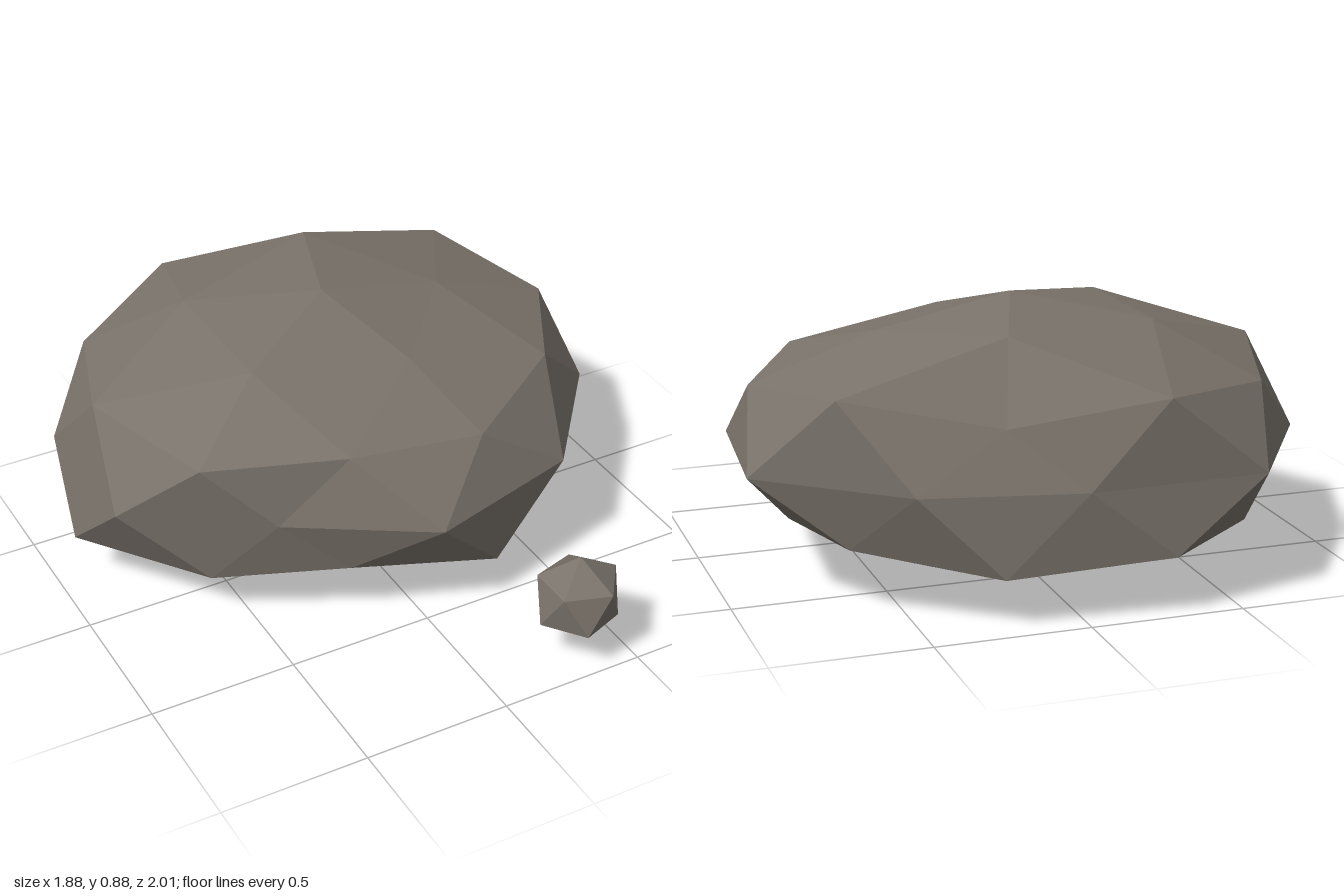
import * as THREE from 'three';

// Rings of a pole-up icosphere: latitude in degrees, first azimuth and azimuth step
const LAT = 26.565, MID = 31.717, HIGH = 58.283;
const RINGS = {
  T: [90, 0, 0], // top pole
  B: [HIGH, 90, 72],
  A: [LAT, 90, 72], // upper corners
  C: [MID, 126, 72],
  E: [0, 72, 36], // equator
  M: [-MID, 90, 72],
  L: [-LAT, 126, 72], // lower corners
  D: [-HIGH, 126, 72],
  S: [-90, 0, 0], // bottom pole
};

// The 20 faces: three corners, then the midpoints of edges ab, bc and ca
function icosaFaces() {
  const faces = [];
  for (let k = 0; k < 5; k++) {
    const n = k + 1, e = 2 * k;
    faces.push(
      [['A', k], ['A', n], ['T', 0], ['C', k], ['B', n], ['B', k]],
      [['A', k], ['L', k], ['A', n], ['E', e + 1], ['E', e + 2], ['C', k]],
      [['L', k], ['L', n], ['A', n], ['M', n], ['E', e + 3], ['E', e + 2]],
      [['L', k], ['S', 0], ['L', n], ['D', k], ['D', n], ['M', n]],
    );
  }
  return faces;
}

// Rock with a radius per ring point, stretched by scale; split makes 80 faces
function rockGeometry(radii, scale, split) {
  const point = ([ring, i]) => {
    const [lat, start, step] = RINGS[ring];
    const r = radii[ring][i % radii[ring].length];
    const a = THREE.MathUtils.degToRad(start + step * i);
    const b = THREE.MathUtils.degToRad(lat);
    return [
      r * scale[0] * Math.cos(b) * Math.sin(a),
      r * scale[1] * Math.sin(b),
      r * scale[2] * Math.cos(b) * Math.cos(a),
    ];
  };
  const positions = [];
  const add = (...corners) => corners.forEach((c) => positions.push(...point(c)));
  for (const [a, b, c, ab, bc, ca] of icosaFaces()) {
    if (!split) { add(a, b, c); continue; }
    add(a, ab, ca);
    add(ab, b, bc);
    add(ca, bc, c);
    add(ab, bc, ca);
  }
  const geometry = new THREE.BufferGeometry();
  geometry.setAttribute('position', new THREE.Float32BufferAttribute(positions, 3));
  geometry.computeVertexNormals();
  return geometry;
}

export function createModel() {
  const group = new THREE.Group();
  group.name = 'rocks';
  const stone = new THREE.MeshStandardMaterial({ color: 0x7a736b, flatShading: true });
  stone.name = 'warm grey stone';

  // Large flattened boulder
  const boulder = new THREE.Mesh(rockGeometry({
    T: [0.911],
    B: [0.85, 0.98, 0.92, 0.91, 0.82],
    A: [0.973, 0.81, 0.95, 0.92, 0.865],
    C: [1.03, 1, 0.987, 0.85, 0.92],
    E: [0.936, 0.99, 0.87, 0.828, 1, 0.936, 0.936, 0.77, 0.933, 0.935],
    M: [0.881, 0.975, 0.95, 0.915, 1.015],
    L: [0.92, 1, 1.05, 0.84, 0.9],
    D: [0.84, 0.8, 0.89, 0.85, 0.95],
    S: [0.832],
  }, [1, 0.505, 0.9], true), stone);
  boulder.name = 'boulder';
  boulder.position.set(0, 0.42, -0.24);

  // Small pebble in front
  const pebble = new THREE.Mesh(rockGeometry({
    T: [1],
    A: [1.02, 0.95, 0.98, 0.97, 1],
    L: [0.97, 1.05, 1.02, 1, 0.96],
    S: [1],
  }, [0.153, 0.153, 0.153], false), stone);
  pebble.name = 'pebble';
  pebble.position.set(0.34, 0.228, 0.87);

  group.add(boulder, pebble);
  return group;
}
